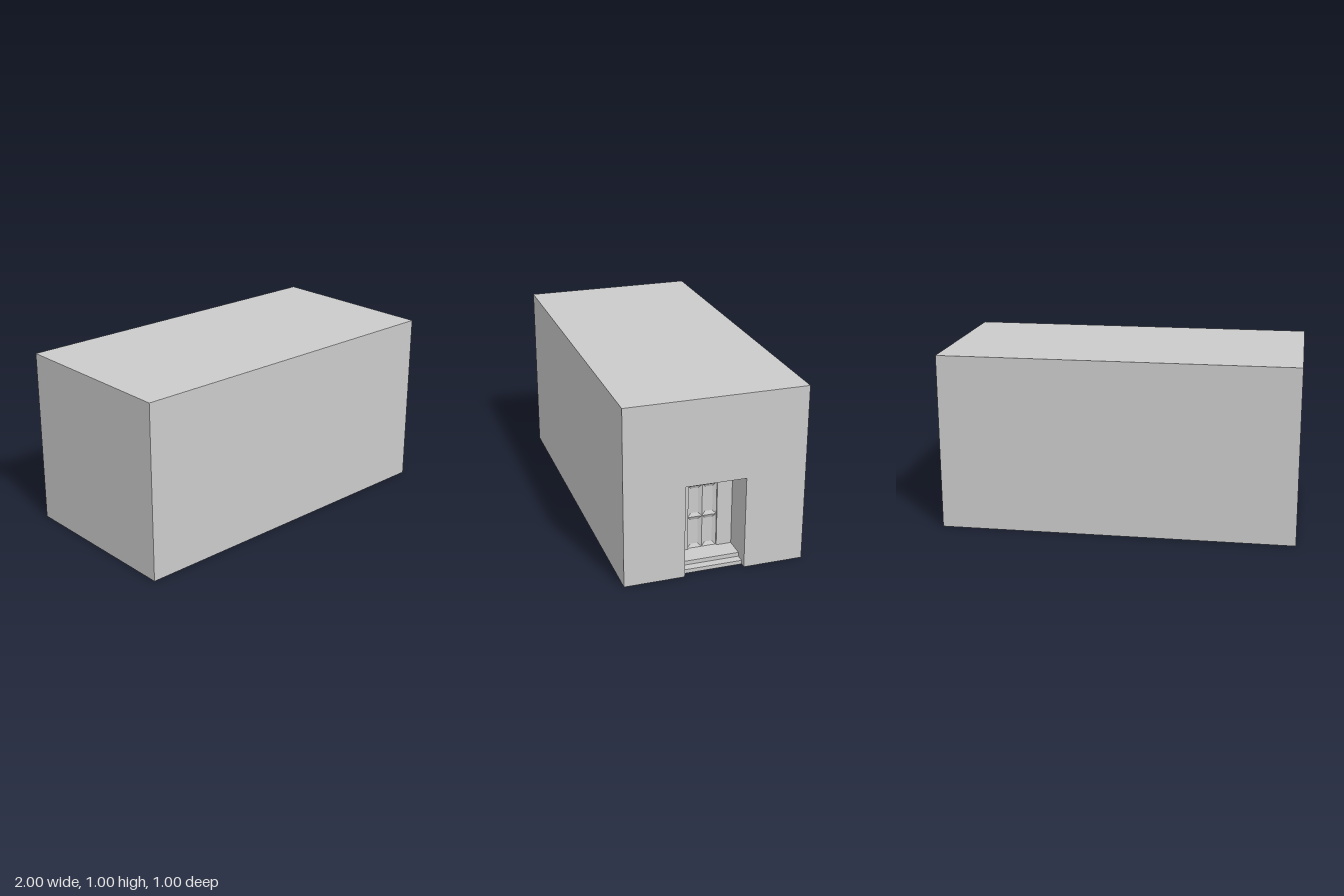
import * as THREE from 'three';

const material = new THREE.MeshStandardMaterial({ color: 0xcccccc, side: THREE.DoubleSide });

// Main sizes
const L = 2, H = 1, W = 1;
const porch = { half: 0.167, top: 0.525, back: 0.805 };
const door = { half: 0.082, bottom: 0.045, top: 0.42, inset: 0.01 };

function add(parent, name, geometry, x = 0, y = 0, z = 0) {
  const mesh = new THREE.Mesh(geometry, material);
  mesh.name = name;
  mesh.position.set(x, y, z);
  parent.add(mesh);
  return mesh;
}

// Flat sheet facing +x, drawn as (-z, y)
function sheetX(points, hole) {
  const shape = new THREE.Shape(points.map(p => new THREE.Vector2(...p)));
  if (hole) shape.holes.push(new THREE.Path(hole.map(p => new THREE.Vector2(...p))));
  return new THREE.ShapeGeometry(shape).rotateY(Math.PI / 2);
}

// Lining of a rectangular recess running inward from x
function lining(parent, name, x, depth, half, bottom, top) {
  const h = top - bottom;
  for (const s of [-1, 1]) {
    const side = new THREE.PlaneGeometry(depth, h);
    if (s > 0) side.rotateY(Math.PI);
    add(parent, name + 'Side', side, x - depth / 2, bottom + h / 2, s * half);
  }
  add(parent, name + 'Ceiling', new THREE.PlaneGeometry(depth, half * 2).rotateX(Math.PI / 2), x - depth / 2, top, 0);
}

// Sunken panel with a bevelled rim, facing +x
function sunkenPanel(w, h, bevel, depth) {
  const ring = (a, b, x) => [x, -b, a, x, -b, -a, x, b, -a, x, b, a];
  const geometry = new THREE.BufferGeometry();
  geometry.setAttribute('position', new THREE.Float32BufferAttribute(
    [...ring(w / 2, h / 2, 0), ...ring(w / 2 - bevel, h / 2 - bevel, -depth)], 3));
  const index = [4, 5, 6, 4, 6, 7];
  for (let i = 0; i < 4; i++) {
    const j = (i + 1) % 4;
    index.push(i, j, j + 4, i, j + 4, i + 4);
  }
  geometry.setIndex(index);
  const flat = geometry.toNonIndexed();
  flat.computeVertexNormals();
  return flat;
}

export function createModel() {
  const model = new THREE.Group();
  model.name = 'building';

  // Shell, open underneath
  const shell = new THREE.Group();
  shell.name = 'shell';
  model.add(shell);
  add(shell, 'roof', new THREE.PlaneGeometry(L, W).rotateX(-Math.PI / 2), 0, H, 0);
  add(shell, 'frontWall', new THREE.PlaneGeometry(L, H), 0, H / 2, W / 2);
  add(shell, 'backWall', new THREE.PlaneGeometry(L, H).rotateY(Math.PI), 0, H / 2, -W / 2);
  add(shell, 'plainEndWall', new THREE.PlaneGeometry(W, H).rotateY(-Math.PI / 2), -L / 2, H / 2, 0);
  const p = porch.half;
  add(shell, 'entranceWall', sheetX([
    [-W / 2, 0], [-p, 0], [-p, porch.top], [p, porch.top], [p, 0], [W / 2, 0], [W / 2, H], [-W / 2, H],
  ]), L / 2);

  // Entrance alcove
  const alcove = new THREE.Group();
  alcove.name = 'alcove';
  model.add(alcove);
  lining(alcove, 'alcove', L / 2, L / 2 - porch.back, p, 0, porch.top);
  const d = door.half;
  add(alcove, 'alcoveBack', sheetX(
    [[-p, 0], [p, 0], [p, porch.top], [-p, porch.top]],
    [[-d, door.bottom], [-d, door.top], [d, door.top], [d, door.bottom]],
  ), porch.back);

  // Two steps
  const profile = new THREE.Shape([
    [porch.back, 0], [0.967, 0], [0.967, 0.022], [0.92, 0.022], [0.92, door.bottom], [porch.back, door.bottom],
  ].map(q => new THREE.Vector2(...q)));
  add(alcove, 'steps', new THREE.ExtrudeGeometry(profile, { depth: p * 2, bevelEnabled: false }), 0, 0, -p);

  // Door with four sunken panels
  const doorGroup = new THREE.Group();
  doorGroup.name = 'door';
  model.add(doorGroup);
  lining(doorGroup, 'jamb', porch.back, door.inset, d, door.bottom, door.top);
  add(doorGroup, 'sill', new THREE.PlaneGeometry(door.inset, d * 2).rotateX(-Math.PI / 2),
    porch.back - door.inset / 2, door.bottom, 0);
  const panelHeight = (door.top - door.bottom) / 2;
  const panel = sunkenPanel(d, panelHeight, 0.02, 0.01);
  for (const row of [0, 1]) {
    for (const side of [-1, 1]) {
      add(doorGroup, 'doorPanel', panel, porch.back - door.inset,
        door.bottom + panelHeight * (row + 0.5), side * d / 2);
    }
  }
  return model;
}
